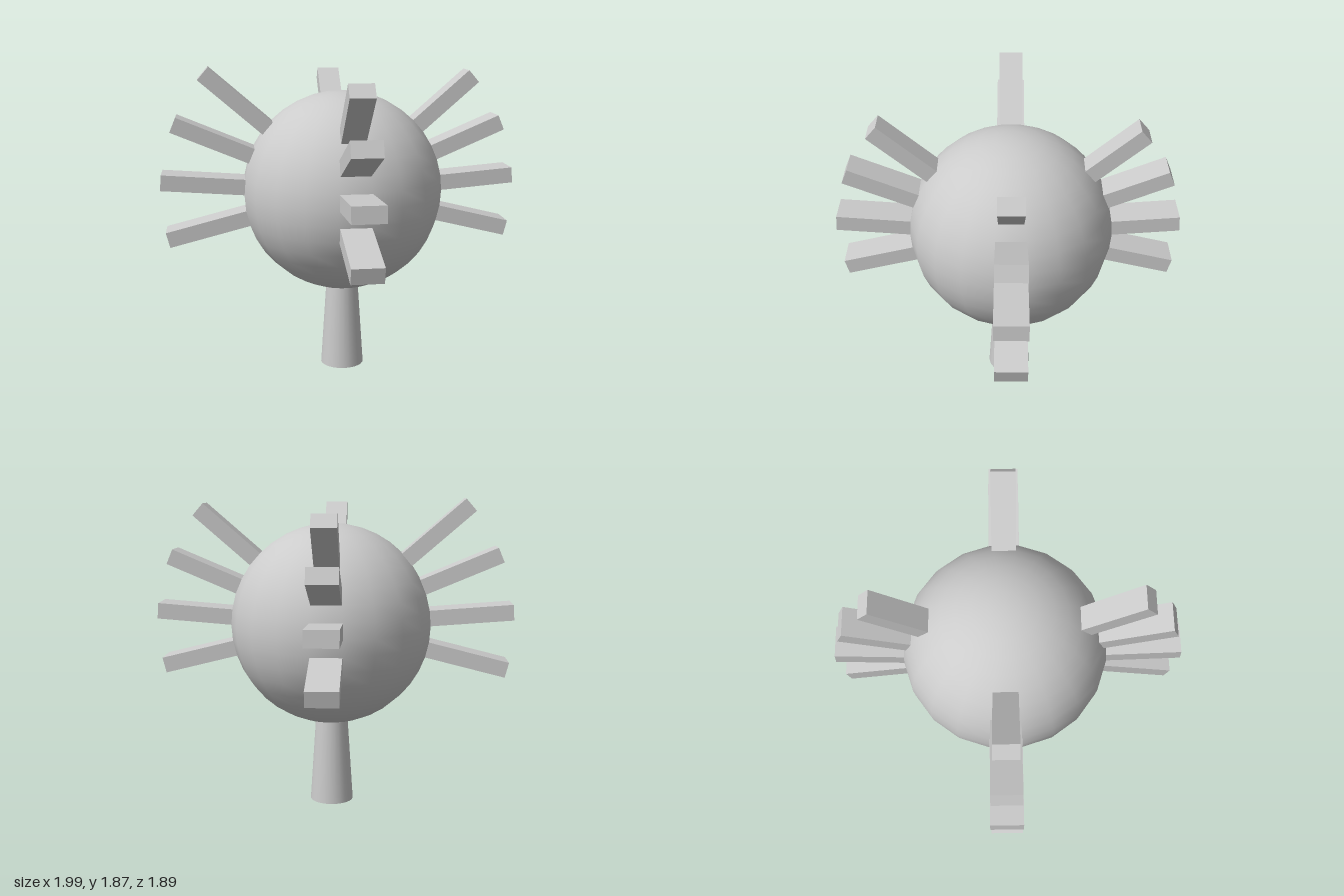
import * as THREE from 'three';

export function createModel() {
  const model = new THREE.Group();
  const material = new THREE.MeshStandardMaterial({ color: 0xcccccc });
  const add = (parent, name, geometry) => {
    const mesh = new THREE.Mesh(geometry, material);
    mesh.name = name;
    parent.add(mesh);
    return mesh;
  };

  // Round head
  const centre = new THREE.Vector3(0.01, 1.12, -0.01);
  add(model, 'head', new THREE.SphereGeometry(0.605, 20, 20)).position.copy(centre);

  // Tapered stem, reaching up into the head
  const stemHeight = 0.62;
  add(model, 'stem', new THREE.CylinderGeometry(0.092, 0.133, stemHeight, 24))
    .position.set(0.004, stemHeight / 2 + 0.005, -0.003);

  // Four columns of four spokes; spokes narrow towards the pole
  const reaches = [1.045, 1.03, 1.09, 0.995];
  const elevations = [41, 22.9, 4.5, -14];
  const inner = 0.45;
  reaches.forEach((reach, i) => {
    const column = new THREE.Group();
    column.name = 'spokeColumn';
    column.position.copy(centre);
    column.rotation.y = -THREE.MathUtils.degToRad(26.6 + 90 * i);
    model.add(column);
    for (const degrees of elevations) {
      const angle = THREE.MathUtils.degToRad(degrees);
      const geometry = new THREE.BoxGeometry(reach - inner, 0.094, 0.186 * Math.cos(angle));
      geometry.translate((reach + inner) / 2, 0, 0);
      add(column, 'spoke', geometry).rotation.z = angle;
    }
  });

  return model;
}
